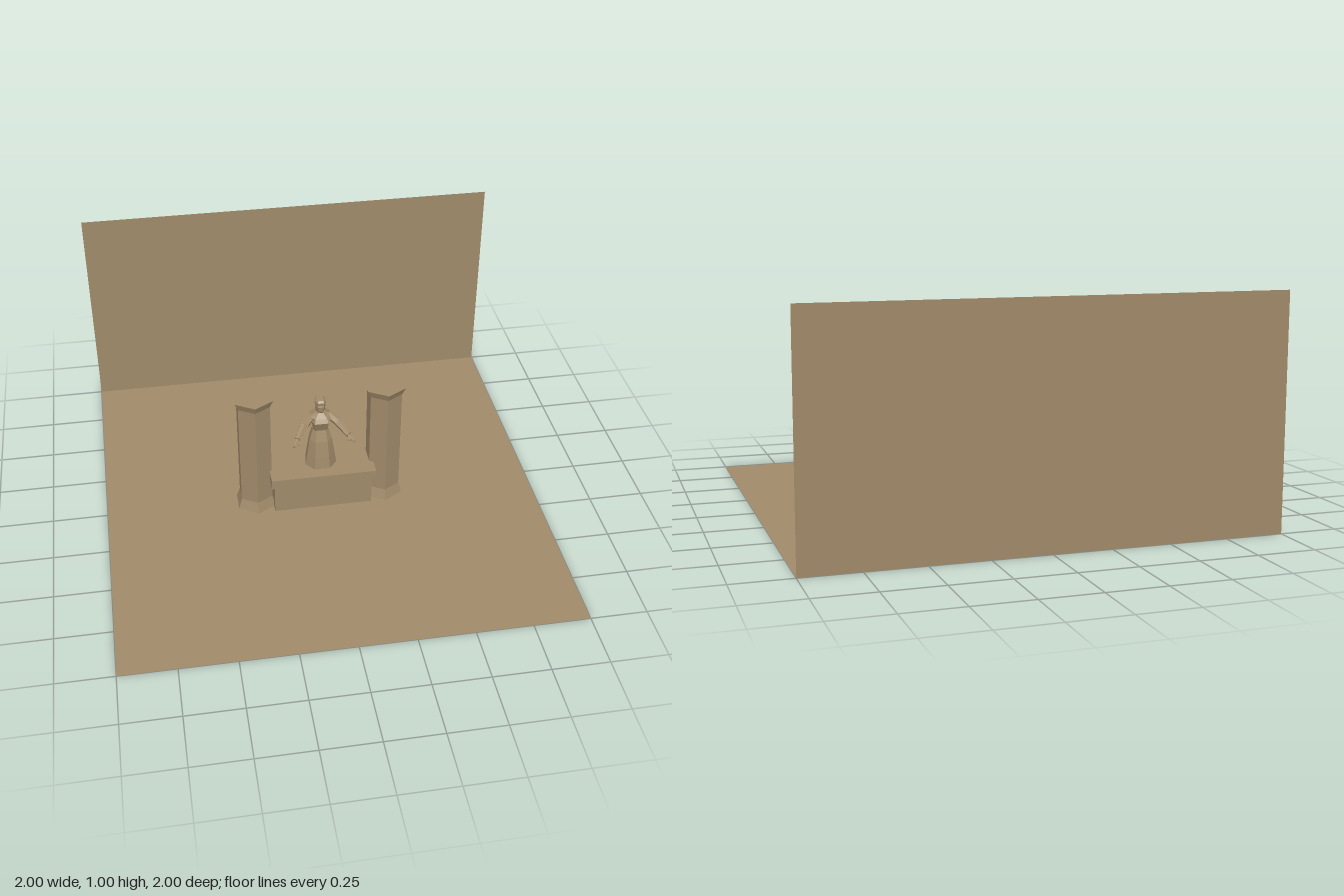
import * as THREE from 'three';

const stone = new THREE.MeshStandardMaterial({ color: 0xa08a69, flatShading: true });
stone.name = 'sandstone';
stone.side = THREE.DoubleSide;

function add(parent, name, geometry, x = 0, y = 0, z = 0) {
  const mesh = new THREE.Mesh(geometry, stone);
  mesh.name = name;
  mesh.position.set(x, y, z);
  parent.add(mesh);
  return mesh;
}

// Stacked six-sided sections: [y, half width, back z, side z, front z, front half width]
function loft(sections) {
  const rings = sections.map(([y, w, back, side, front, fw]) => [
    [w, y, side], [w * 0.85, y, back], [-w * 0.85, y, back],
    [-w, y, side], [-fw, y, front], [fw, y, front],
  ]);
  const pos = [];
  for (let r = 0; r < rings.length - 1; r++) {
    for (let i = 0; i < 6; i++) {
      const j = (i + 1) % 6, a = rings[r], b = rings[r + 1];
      pos.push(...a[i], ...a[j], ...b[j], ...a[i], ...b[j], ...b[i]);
    }
  }
  const top = rings[rings.length - 1];
  for (let i = 1; i < 5; i++) pos.push(...top[0], ...top[i], ...top[i + 1]);
  const g = new THREE.BufferGeometry();
  g.setAttribute('position', new THREE.Float32BufferAttribute(pos, 3));
  g.computeVertexNormals();
  return g;
}

// Tapered six-sided limb between two points
function limb(parent, name, from, to, r0, r1) {
  const a = new THREE.Vector3(...from), b = new THREE.Vector3(...to);
  const dir = b.clone().sub(a);
  const mesh = add(parent, name, new THREE.CylinderGeometry(r1, r0, dir.length(), 6));
  mesh.position.copy(a).add(b).multiplyScalar(0.5);
  mesh.quaternion.setFromUnitVectors(new THREE.Vector3(0, 1, 0), dir.normalize());
}

function column(x) {
  const group = new THREE.Group();
  group.name = 'column';
  group.position.x = x;
  const part = (name, top, bottom, y0, y1) =>
    add(group, name, new THREE.CylinderGeometry(top, bottom, y1 - y0, 6), 0, (y0 + y1) / 2, 0);
  part('columnBase', 0.083, 0.1, 0, 0.05);
  part('columnShaft', 0.083, 0.083, 0.05, 0.565);
  part('columnCapital', 0.1, 0.083, 0.565, 0.602);
  return group;
}

function statue() {
  const group = new THREE.Group();
  group.name = 'statue';
  add(group, 'skirt', loft([
    [0.2, 0.072, -0.052, 0.02, 0.065, 0.035],
    [0.26, 0.064, -0.046, 0.02, 0.058, 0.032],
    [0.34, 0.052, -0.036, 0.018, 0.044, 0.028],
    [0.395, 0.036, -0.026, 0.012, 0.028, 0.022],
  ]));
  // Bodice leans out from the waist to the bust, then in to the neck
  add(group, 'bodice', loft([
    [0.395, 0.034, -0.026, 0.012, 0.028, 0.026],
    [0.445, 0.042, -0.034, 0.016, 0.048, 0.032],
    [0.463, 0.054, -0.036, 0.01, 0.036, 0.026],
    [0.482, 0.026, -0.028, 0.004, 0.02, 0.014],
    [0.49, 0.017, -0.02, 0, 0.014, 0.01],
  ]));
  add(group, 'head', loft([
    [0.482, 0.015, -0.018, 0, 0.014, 0.009],
    [0.495, 0.022, -0.026, 0, 0.024, 0.01],
    [0.522, 0.024, -0.028, 0.002, 0.027, 0.013],
    [0.535, 0.022, -0.024, 0, 0.022, 0.013],
  ]));
  add(group, 'crown', loft([
    [0.53, 0.024, -0.025, 0, 0.025, 0.014],
    [0.545, 0.026, -0.027, 0, 0.027, 0.015],
    [0.554, 0.017, -0.018, 0, 0.018, 0.01],
  ]));
  // Arms open forward and down
  for (const s of [1, -1]) {
    limb(group, 'upperArm', [s * 0.042, 0.457, -0.005], [s * 0.082, 0.438, 0.04], 0.021, 0.02);
    limb(group, 'foreArm', [s * 0.076, 0.441, 0.033], [s * 0.117, 0.405, 0.09], 0.021, 0.014);
    limb(group, 'hand', [s * 0.115, 0.403, 0.085], [s * 0.138, 0.385, 0.118], 0.012, 0.006);
    limb(group, 'thumb', [s * 0.116, 0.4, 0.09], [s * 0.117, 0.385, 0.112], 0.007, 0.004);
  }
  return group;
}

export function createModel() {
  const model = new THREE.Group();
  model.name = 'shrine';

  // Ground sheet and back wall
  add(model, 'floor', new THREE.PlaneGeometry(2, 2)).rotation.x = -Math.PI / 2;
  add(model, 'backWall', new THREE.PlaneGeometry(2, 1), 0, 0.5, -1);

  // Altar
  add(model, 'altarBody', new THREE.BoxGeometry(0.455, 0.155, 0.19), 0, 0.0775, 0);
  add(model, 'altarSlab', new THREE.BoxGeometry(0.486, 0.046, 0.24), 0, 0.177, 0);

  model.add(column(-0.305), column(0.296), statue());
  return model;
}
